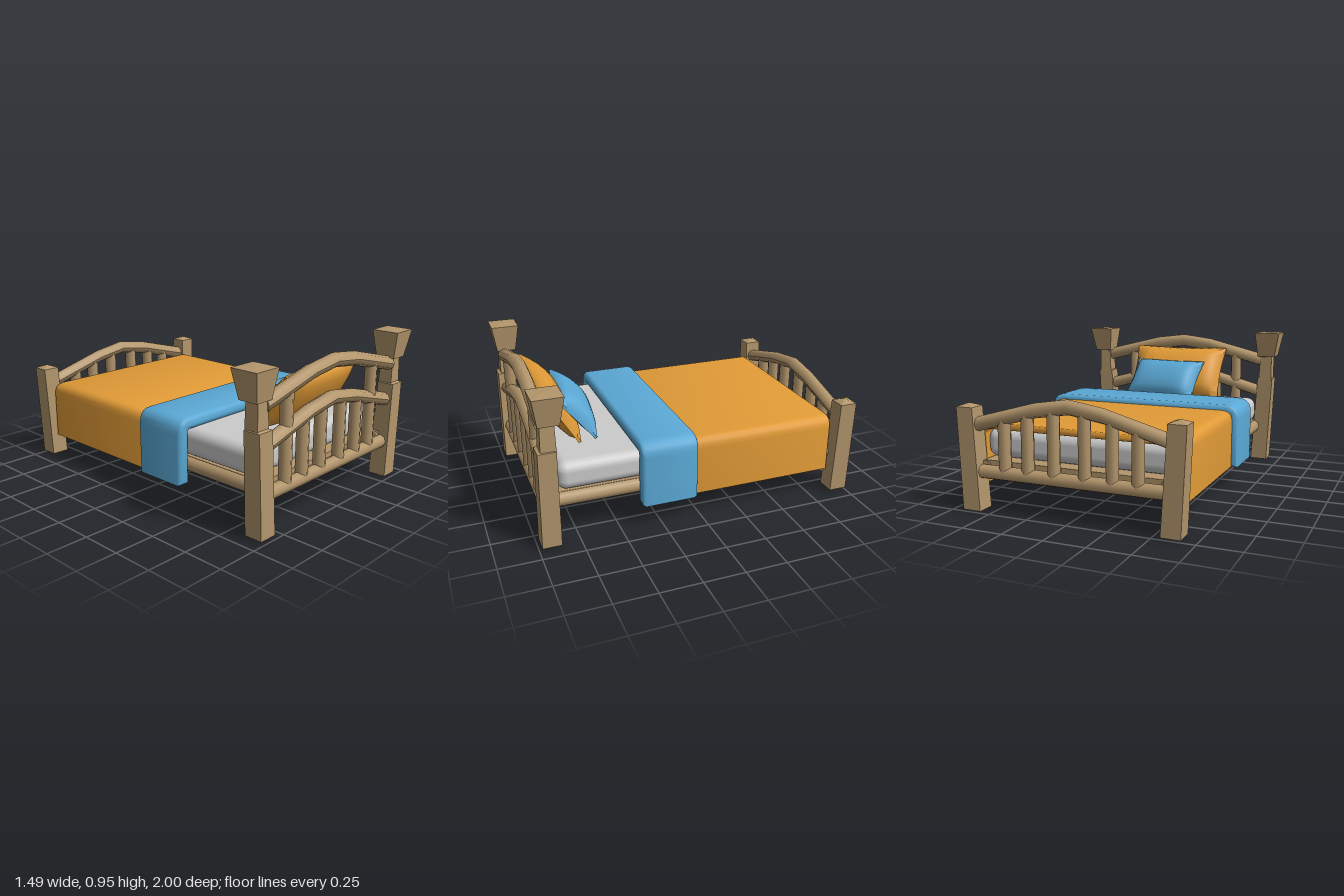
import * as THREE from 'three';
import { toCreasedNormals } from 'three/addons/utils/BufferGeometryUtils.js';
import { RoundedBoxGeometry } from 'three/addons/geometries/RoundedBoxGeometry.js';

const wood = new THREE.MeshStandardMaterial({ color: 0xb3966c });
const woodFlat = new THREE.MeshStandardMaterial({ color: 0xb3966c, flatShading: true });
const orange = new THREE.MeshStandardMaterial({ color: 0xe39c37 });
const blue = new THREE.MeshStandardMaterial({ color: 0x5ba9d6 });
const grey = new THREE.MeshStandardMaterial({ color: 0xcccccc });

function add(parent, name, geometry, material, x = 0, y = 0, z = 0) {
  const mesh = new THREE.Mesh(geometry, material);
  mesh.name = name;
  mesh.position.set(x, y, z);
  parent.add(mesh);
  return mesh;
}

// Square turned piece from [half width, y] pairs, leaning outward by lean * y
function squarePost(profile, lean) {
  const points = profile.map(([half, y]) => new THREE.Vector2(half * Math.SQRT2, y));
  const geometry = new THREE.LatheGeometry(points, 4, Math.PI / 4);
  const p = geometry.attributes.position;
  for (let i = 0; i < p.count; i++) p.setX(i, p.getX(i) + lean * p.getY(i));
  return geometry;
}

// Round log along x, bent through the heights at its five stations
function archedLog(ends, heights, radius) {
  const xs = [-ends, -0.21, 0, 0.21, ends];
  const ys = [heights[0], heights[1], heights[2], heights[1], heights[0]];
  const geometry = new THREE.CylinderGeometry(radius, radius, 4, 8, 4).rotateZ(-Math.PI / 2);
  const p = geometry.attributes.position;
  for (let i = 0; i < p.count; i++) {
    const k = Math.round(p.getX(i) + 2);
    p.setXYZ(i, xs[k], p.getY(i) + ys[k], p.getZ(i));
  }
  geometry.computeVertexNormals();
  return geometry;
}

function spindle(x, y0, y1) {
  return new THREE.CylinderGeometry(0.038, 0.038, y1 - y0, 8).translate(x, (y0 + y1) / 2, 0);
}

// Lower rail, low arch, spindles and two posts, shared by both ends
function endFrame(name, z) {
  const frame = new THREE.Group();
  frame.name = name;
  frame.position.z = z;
  add(frame, 'lowerRail', new THREE.CylinderGeometry(0.042, 0.042, 1.2, 8).rotateZ(Math.PI / 2), wood, 0, 0.238, 0);
  add(frame, 'lowArch', archedLog(0.6, [0.51, 0.617, 0.65], 0.043), wood);
  for (const x of [0.095, 0.26, 0.41])
    for (const s of [-1, 1])
      add(frame, 'spindle', spindle(s * x, 0.24, 0.655 - 0.22 * x), wood);
  for (const s of [-1, 1])
    add(frame, 'post', squarePost([[0, 0], [0.057, 0.012], [0.053, 0.615], [0, 0.635]], s * 0.05), woodFlat, s * 0.611);
  return frame;
}

// Cloth hanging over the bed as a rounded, inverted U
function drape(half, top, bottom, thick, radius, z0, z1, bevel) {
  const w = half - thick, t = top - thick, r = Math.max(radius - thick, 0.01);
  const s = new THREE.Shape();
  s.moveTo(-half, bottom);
  s.lineTo(-w, bottom);
  s.lineTo(-w, t - r);
  s.quadraticCurveTo(-w, t, -w + r, t);
  s.lineTo(w - r, t);
  s.quadraticCurveTo(w, t, w, t - r);
  s.lineTo(w, bottom);
  s.lineTo(half, bottom);
  s.lineTo(half, top - radius);
  s.quadraticCurveTo(half, top, half - radius, top);
  s.lineTo(-half + radius, top);
  s.quadraticCurveTo(-half, top, -half, top - radius);
  const geometry = new THREE.ExtrudeGeometry(s, {
    depth: z1 - z0 - 2 * bevel, curveSegments: 5, bevelEnabled: true, bevelSegments: 2,
    bevelSize: bevel, bevelThickness: bevel, bevelOffset: -bevel,
  });
  return toCreasedNormals(geometry.translate(0, 0, z0 + bevel), 0.8);
}

// Cushion: a box grid puffed in the middle, pinched at the seam, waisted edges
function pillow(width, height, front, back) {
  const geometry = new THREE.BoxGeometry(2, 2, 2, 12, 10, 1);
  const p = geometry.attributes.position;
  for (let i = 0; i < p.count; i++) {
    const u = p.getX(i), v = p.getY(i), z = p.getZ(i);
    const puff = Math.pow(Math.max(0, (1 - u ** 4) * (1 - v * v)), 0.55);
    const depth = z < 0 ? -front : back;
    p.setXYZ(i,
      (u * width / 2) * (1 - 0.05 * (1 - v * v) * Math.abs(u)),
      (v * height / 2) * (1 - 0.05 * (1 - u * u) * Math.abs(v)),
      depth * puff + Math.sign(z) * 0.008);
  }
  return toCreasedNormals(geometry, 0.9);
}

export function createModel() {
  const bed = new THREE.Group();
  bed.name = 'bed';

  // Headboard: shared frame plus upper arch, short spindles and capped post tops
  const head = endFrame('headboard', 0.925);
  add(head, 'highArch', archedLog(0.61, [0.742, 0.842, 0.868], 0.044), wood);
  for (const s of [-1, 1]) {
    add(head, 'shortSpindle', spindle(s * 0.41, 0.55, 0.8), wood);
    add(head, 'upperPost', squarePost([[0.045, 0.6], [0.04, 0.79]], s * 0.02), woodFlat, s * 0.63, 0, -0.01);
    add(head, 'postCap', squarePost([[0, 0.765], [0.06, 0.775], [0.087, 0.945], [0, 0.95]], s * 0.04), woodFlat, s * 0.62, 0, -0.015);
  }
  bed.add(head);
  bed.add(endFrame('footboard', -0.946));

  // Platform and side rails
  add(bed, 'platform', new THREE.BoxGeometry(1.14, 0.08, 1.82), wood, 0, 0.26, -0.01);
  for (const s of [-1, 1])
    add(bed, 'sideRail', new THREE.CylinderGeometry(0.045, 0.045, 1.84, 8).rotateX(Math.PI / 2), wood, s * 0.565, 0.255, -0.01);

  // Bedding
  add(bed, 'mattress', new RoundedBoxGeometry(1.18, 0.175, 1.725, 3, 0.06), grey, 0, 0.388, -0.007);
  add(bed, 'blanket', drape(0.63, 0.512, 0.152, 0.04, 0.07, -0.875, 0.06, 0.008), orange, -0.008);
  add(bed, 'foldedSheet', drape(0.664, 0.545, 0.145, 0.075, 0.09, 0.027, 0.38, 0.025), blue, -0.01);

  // Pillows leaning on the headboard
  const big = add(bed, 'largePillow', pillow(0.7, 0.4, 0.085, 0.06), orange, 0, 0.65, 0.765);
  big.rotation.x = 0.55;
  const small = add(bed, 'smallPillow', pillow(0.54, 0.33, 0.075, 0.02), blue, 0.05, 0.607, 0.627);
  small.rotation.set(0.7, -0.13, 0, 'YXZ');
  return bed;
}
